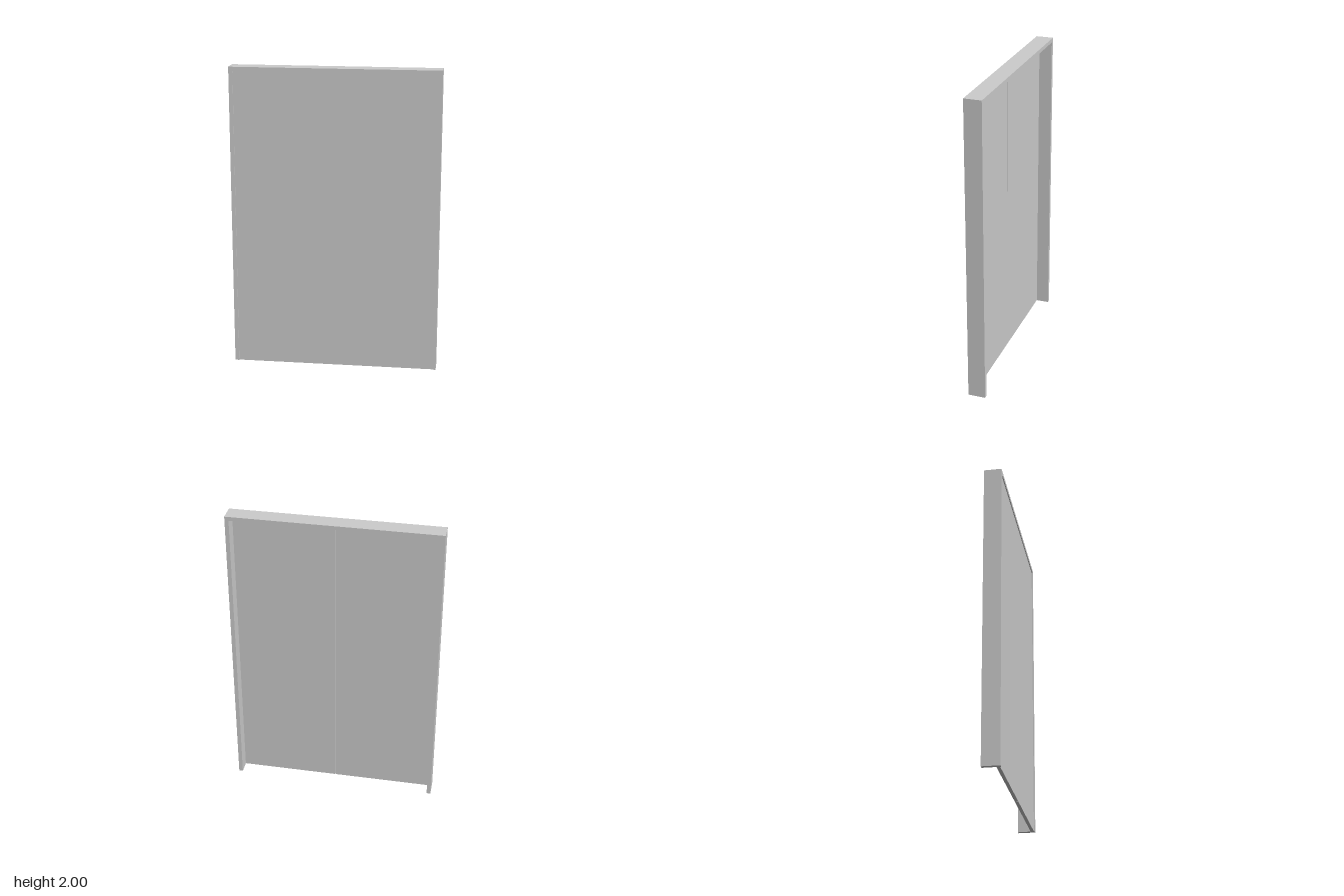
import * as THREE from 'three';

const W = 1.36, H = 2, D = 0.114; // overall size
const T = 0.026;                  // frame thickness
const GAP = 0.005;                // seam between the leaves

export function createModel() {
  const group = new THREE.Group();
  const material = new THREE.MeshStandardMaterial({ color: 0xcccccc });

  // box given by its centre in x, its bottom in y and its back in z
  const box = (name, w, h, d, x, y, z) => {
    const mesh = new THREE.Mesh(new THREE.BoxGeometry(w, h, d), material);
    mesh.name = name;
    mesh.position.set(x, y + h / 2, z + d / 2);
    group.add(mesh);
  };

  // door frame: two posts and a head rail, open at the floor
  for (const s of [-1, 1]) {
    box(s > 0 ? 'leftPost' : 'rightPost', T, H - T, D, s * (W - T) / 2, 0, -D / 2);
  }
  box('headRail', W, T, D, 0, H - T, -D / 2);

  // two door leaves near the front, with a narrow seam at the back
  const inner = W - 2 * T;
  const leafW = (inner - GAP) / 2;
  for (const s of [-1, 1]) {
    box(s > 0 ? 'leftLeaf' : 'rightLeaf', leafW, H - T, 0.018, s * (leafW + GAP) / 2, 0, 0.029);
  }

  // front facing that closes the seam, set slightly behind the frame
  box('frontFacing', inner, H - T, 0.004, 0, 0, 0.047);

  return group;
}
